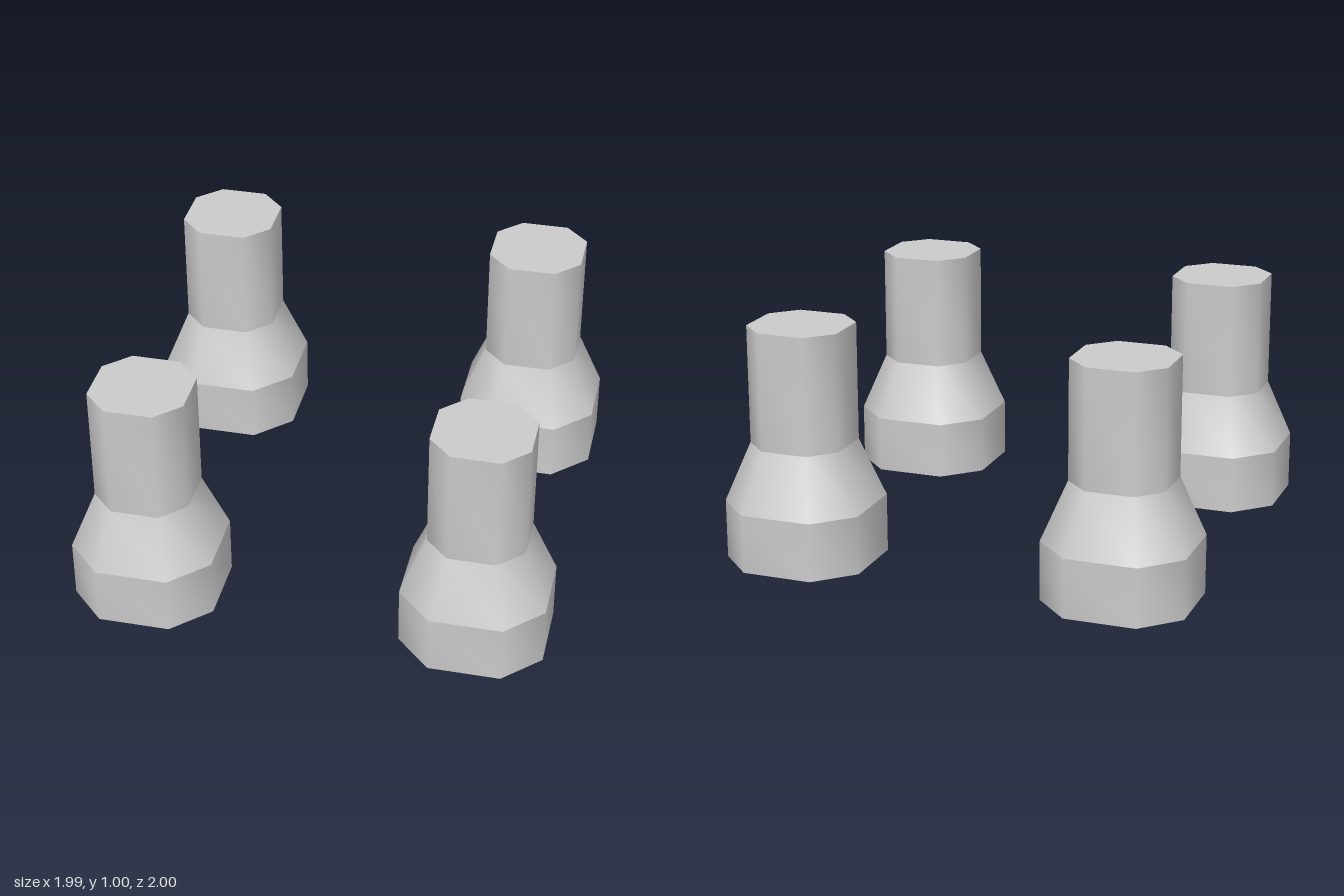
import * as THREE from 'three';
import { toCreasedNormals } from 'three/addons/utils/BufferGeometryUtils.js';

const material = new THREE.MeshStandardMaterial({ color: 0xcccccc });

// Eight-sided turned section whose corners sit at (1, 0.5) and (0.5, 1) times its half width
function octagonSection(name, profile) {
  const points = profile.map(([r, y]) => new THREE.Vector2(r, y));
  const geometry = new THREE.LatheGeometry(points, 8, Math.PI / 8);
  const pos = geometry.attributes.position;
  for (let i = 0; i < pos.count; i++) {
    const x = pos.getX(i), z = pos.getZ(i), r = Math.hypot(x, z);
    const wide = Math.abs(x) > Math.abs(z);
    pos.setX(i, Math.sign(x) * r * (wide ? 1 : 0.5));
    pos.setZ(i, Math.sign(z) * r * (wide ? 0.5 : 1));
  }
  // smooth around the sides, sharp at the end caps
  const mesh = new THREE.Mesh(toCreasedNormals(geometry, THREE.MathUtils.degToRad(60)), material);
  mesh.name = name;
  return mesh;
}

// One leg: wide foot, tapering collar, straight column
function createLeg(name) {
  const leg = new THREE.Group();
  leg.name = name;
  leg.add(
    octagonSection('foot', [[0, 0], [0.3, 0], [0.3, 0.25]]),
    octagonSection('collar', [[0.3, 0.25], [0.2, 0.5]]),
    octagonSection('column', [[0.2, 0.5], [0.2, 1], [0, 1]])
  );
  return leg;
}

export function createModel() {
  const model = new THREE.Group();
  model.name = 'legs';
  // a leg at each corner
  for (const [side, x] of [['Left', 0.695], ['Right', -0.695]]) {
    for (const [end, z] of [['front', 0.7], ['back', -0.7]]) {
      const leg = createLeg(`${end}${side}Leg`);
      leg.position.set(x, 0, z);
      model.add(leg);
    }
  }
  return model;
}
